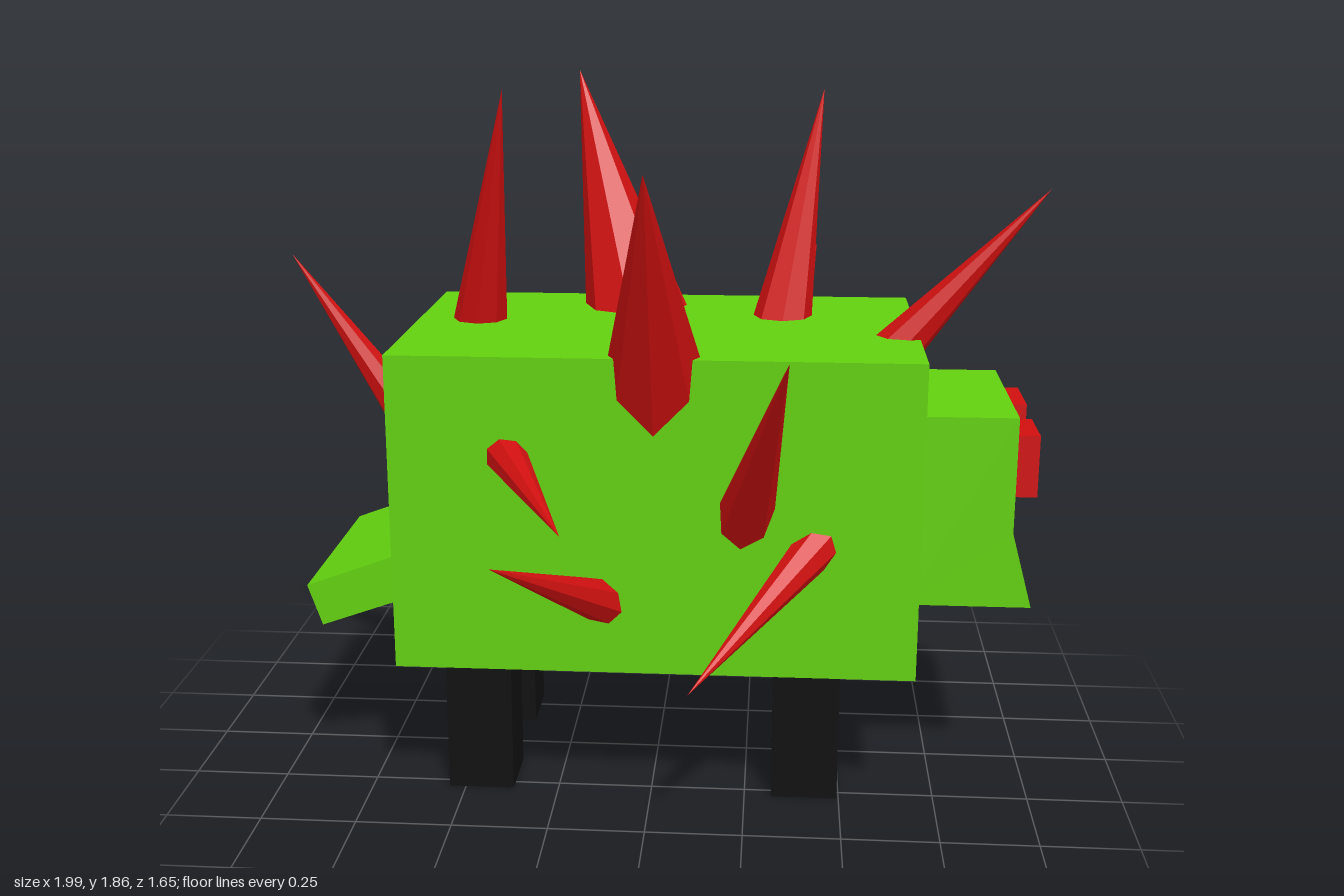
import * as THREE from 'three';

export function createModel() {
  const model = new THREE.Group();
  const mat = (name, color) => {
    const m = new THREE.MeshStandardMaterial({ color, flatShading: true });
    m.name = name;
    return m;
  };
  const green = mat('green skin', 0x62d00f);
  const red = mat('red spike', 0xd01010);
  const black = mat('black leg', 0x101010);

  const add = (name, geometry, material) => {
    const mesh = new THREE.Mesh(geometry, material);
    mesh.name = name;
    model.add(mesh);
    return mesh;
  };

  // Box given by its opposite corners
  const box = (name, [x0, y0, z0], [x1, y1, z1], material) =>
    add(name, new THREE.BoxGeometry(x1 - x0, y1 - y0, z1 - z0), material)
      .position.set((x0 + x1) / 2, (y0 + y1) / 2, (z0 + z1) / 2);

  // Side profile (x, y) extruded from z0 to z1
  const slab = (name, points, z0, z1) => {
    const shape = new THREE.Shape(points.map(([x, y]) => new THREE.Vector2(x, y)));
    add(name, new THREE.ExtrudeGeometry(shape, { depth: z1 - z0, bevelEnabled: false }), green)
      .position.z = z0;
  };

  // Eight-sided cone from the skin to its tip, rooted a little inside the body
  const up = new THREE.Vector3(0, 1, 0);
  const spike = (name, base, tip, radius) => {
    const t = new THREE.Vector3(...tip);
    const axis = t.clone().sub(new THREE.Vector3(...base));
    const grow = 1.15;
    const length = axis.length() * grow;
    axis.normalize();
    const mesh = add(name, new THREE.ConeGeometry(radius * grow, length, 8), red);
    mesh.quaternion.setFromUnitVectors(up, axis);
    mesh.position.copy(t).addScaledVector(axis, -length / 2);
  };

  // Body, head with jutting snout, and tail
  box('body', [-0.65, 0.395, -0.43], [0.68, 1.217, 0.4], green);
  slab('head', [[0.66, 0.54], [0.98, 0.54], [0.925, 0.74], [0.925, 1.045], [0.66, 1.045]], -0.275, 0.243);
  slab('tail', [[-0.91, 0.56], [-0.873, 0.45], [-0.64, 0.533], [-0.64, 0.66]], -0.31, 0.268);

  // Eyes
  box('leftEye', [0.91, 0.827, -0.246], [0.985, 1.003, -0.06], red);
  box('rightEye', [0.91, 0.827, 0.04], [0.985, 0.99, 0.207], red);

  // Legs
  for (const x of [-0.457, 0.408])
    for (const z of [-0.227, 0.197])
      box('leg', [x - 0.087, 0, z - 0.087], [x + 0.087, 0.42, z + 0.087], black);

  // Spikes: base on the skin, tip, radius
  const spikes = {
    topSpike: [
      [[-0.485, 1.217, -0.06], [-0.38, 1.84, 0.145], 0.072],
      [[-0.09, 1.217, -0.285], [-0.25, 1.855, -0.414], 0.138],
      [[0.015, 1.11, 0.29], [0.015, 1.7, 0.695], 0.138],
      [[0.33, 1.217, -0.16], [0.43, 1.815, -0.31], 0.078],
      [[0.62, 1.18, 0.08], [0.99, 1.6, 0.102], 0.062],
    ],
    tailSpike: [[[-0.65, 0.86, -0.09], [-0.997, 1.385, -0.067], 0.068]],
    frontSpike: [
      [[-0.345, 0.96, 0.4], [-0.163, 0.905, 0.825], 0.05],
      [[-0.13, 0.595, 0.4], [-0.335, 0.807, 0.778], 0.055],
      [[0.4, 0.72, 0.4], [0.122, 0.5, 0.76], 0.052],
      [[0.25, 0.85, 0.4], [0.343, 1.313, 0.825], 0.068],
    ],
    backSpike: [
      [[0.345, 1.055, -0.43], [0.43, 1.312, -0.8], 0.06],
      [[-0.215, 0.96, -0.43], [-0.273, 1.03, -0.683], 0.052],
      [[-0.395, 0.775, -0.43], [-0.445, 0.66, -0.784], 0.042],
      [[0.045, 0.62, -0.43], [-0.166, 0.605, -0.83], 0.085],
      [[0.4, 0.715, -0.43], [0.615, 0.75, -0.62], 0.05],
    ],
  };
  for (const [name, list] of Object.entries(spikes))
    for (const [base, tip, radius] of list) spike(name, base, tip, radius);

  return model;
}
